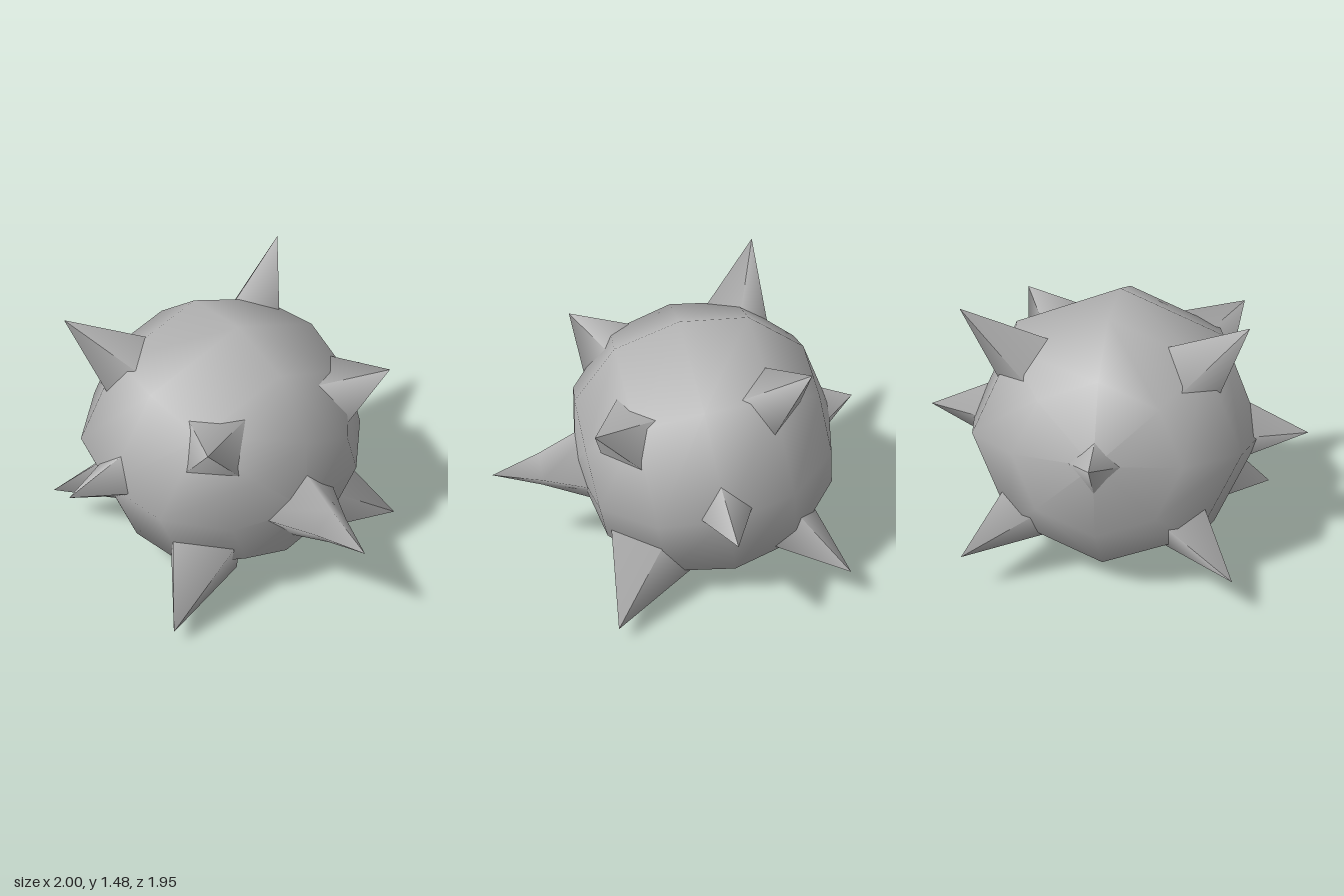
import * as THREE from 'three';

const V = (x, y, z) => new THREE.Vector3(x, y, z);
const profile = (pts) => pts.map(([r, h]) => new THREE.Vector2(r, h));
const SINK = 0.2; // share of each spike's length buried below its base

export function createModel() {
  const grey = new THREE.MeshStandardMaterial({ color: 0xb2b2b2, side: THREE.DoubleSide });
  const group = new THREE.Group();

  // Coarse eight-sided ball, its axis dipping toward the front
  const bodyGeometry = new THREE.LatheGeometry(profile([
    [0, -0.7], [0.4, -0.61], [0.65, -0.352], [0.72, 0],
    [0.65, 0.352], [0.4, 0.615], [0, 0.7],
  ]), 8);
  bodyGeometry.rotateX(THREE.MathUtils.degToRad(100));
  const body = new THREE.Mesh(bodyGeometry, grey);
  body.name = 'body';
  body.scale.x = 1.06;
  body.position.set(0, 0.715, -0.16);
  group.add(body);

  // Four-sided spike from base to tip; corner sets its roll.
  // A waist [radius, fraction of length] gives a stepped outline.
  function spike(name, base, tip, corner, radius, waist) {
    const axis = tip.clone().sub(base);
    const length = axis.length();
    axis.normalize();
    const side = corner.clone().sub(base);
    side.addScaledVector(axis, -side.dot(axis)).normalize();
    const points = [[radius * (1 + SINK), -SINK * length]];
    if (waist) points.push([waist[0], waist[1] * length]);
    points.push([0, length]);
    const geometry = new THREE.LatheGeometry(profile(points), 4);
    const frame = new THREE.Matrix4().makeBasis(side, axis, side.clone().cross(axis));
    geometry.applyMatrix4(frame);
    const mesh = new THREE.Mesh(geometry, grey);
    mesh.name = name;
    mesh.position.copy(base);
    group.add(mesh);
  }

  // Centre-line spikes
  spike('frontSpike', V(0, 0.6, 0.41), V(0, 0.575, 0.97), V(0, 0.9, 0.45), 0.265, [0.105, 0.54]);
  spike('backSpike', V(0, 0.815, -0.77), V(0, 0.88, -0.975), V(0, 1, -0.75), 0.17);

  // Paired spikes: name, base, tip, corner, base radius
  const pairs = [
    ['SideSpike', [0.64, 0.73, -0.155], [1, 0.74, -0.16], [0.64, 0.87, -0.13], 0.17],
    ['UpperFrontSpike', [0.39, 1.015, 0.26], [0.6, 1.175, 0.475], [0.23, 1.14, 0.31], 0.215],
    ['UpperBackSpike', [0.44, 1.19, -0.425], [0.705, 1.49, -0.555], [0.33, 1.31, -0.43], 0.17],
    ['LowerFrontSpike', [0.45, 0.285, 0.2], [0.785, 0.1, 0.405], [0.64, 0.43, 0.17], 0.22],
    ['LowerBackSpike', [0.43, 0.375, -0.58], [0.69, 0.235, -0.835], [0.48, 0.5, -0.56], 0.16],
  ];
  for (const [name, base, tip, corner, radius] of pairs) {
    for (const s of [1, -1]) {
      const at = ([x, y, z]) => V(s * x, y, z);
      spike((s > 0 ? 'left' : 'right') + name, at(base), at(tip), at(corner), radius);
    }
  }
  return group;
}
